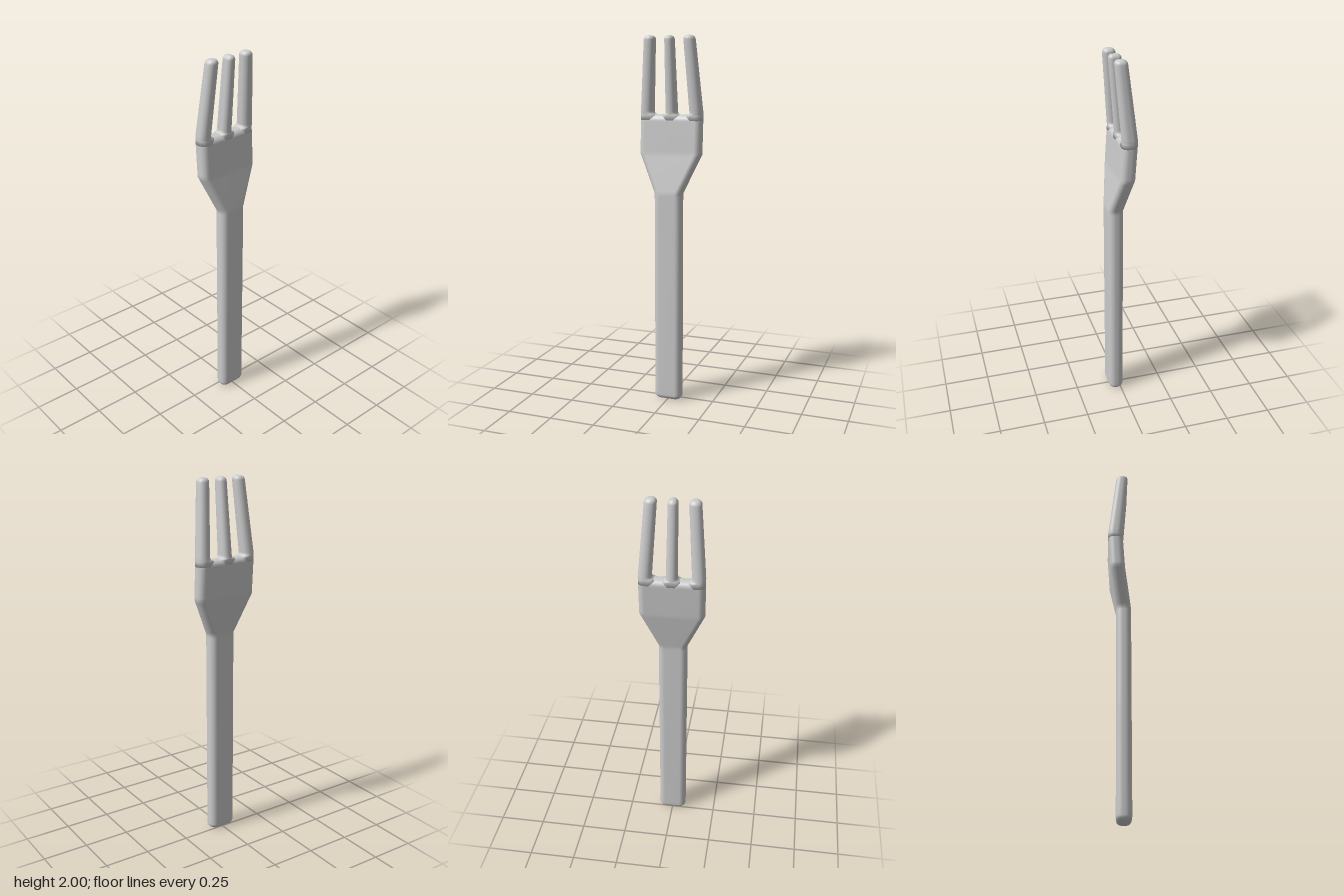
import * as THREE from 'three';

const CORNER = 0.033;   // rounding of the long edges
const material = new THREE.MeshStandardMaterial({ color: 0xcccccc, roughness: 0.6 });

// piecewise-linear lookup through [y, value] knots
function lerpKnots(knots, y) {
  for (let i = 1; i < knots.length; i++) {
    const [y0, v0] = knots[i - 1], [y1, v1] = knots[i];
    if (y <= y1) return v0 + (v1 - v0) * Math.max(0, (y - y0) / (y1 - y0));
  }
  return knots[knots.length - 1][1];
}

// side profile: middle line and half thickness
const midZ = y => lerpKnots([[0, 0.025], [1.17, 0.025], [1.38, -0.01], [1.585, -0.023], [2, 0.0175]], y);
const halfDepth = y => lerpKnots([[0, 0.04], [1.585, 0.041], [2, 0.033]], y);

// rounded-rectangle cross-section at height y
function ring({ y, x, hw, hd }) {
  const r = Math.min(CORNER, hw * 0.92, hd * 0.92), z = midZ(y), pts = [], n = 6;
  for (let c = 0; c < 4; c++) {
    const sx = c === 0 || c === 3 ? 1 : -1, sz = c < 2 ? 1 : -1;
    for (let k = 0; k <= n; k++) {
      const a = (c + k / n) * Math.PI / 2;
      pts.push([x + sx * (hw - r) + r * Math.cos(a), y, z + sz * (hd - r) + r * Math.sin(a)]);
    }
  }
  return pts;
}

// skin a stack of cross-sections and close both ends
function loft(name, sections) {
  const rings = sections.map(ring), n = rings[0].length, pos = rings.flat(2), idx = [];
  for (let s = 0; s < rings.length - 1; s++) {
    for (let i = 0; i < n; i++) {
      const j = (i + 1) % n, a = s * n + i, b = s * n + j;
      idx.push(a, a + n, b, b, a + n, b + n);
    }
  }
  const base = rings.length * n, top = base - n;
  for (const s of [sections[0], sections[sections.length - 1]]) pos.push(s.x, s.y, midZ(s.y));
  for (let i = 0; i < n; i++) {
    const j = (i + 1) % n;
    idx.push(base, i, j, base + 1, top + j, top + i);
  }
  const g = new THREE.BufferGeometry();
  g.setAttribute('position', new THREE.Float32BufferAttribute(pos, 3));
  g.setIndex(idx);
  g.computeVertexNormals();
  const mesh = new THREE.Mesh(g, material);
  mesh.name = name;
  return mesh;
}

// handle and flared head
function body() {
  const width = y => lerpKnots([[0, 0.077], [1.17, 0.077], [1.38, 0.172], [1.6, 0.172]], y);
  const sections = [], r = 0.028;
  for (let k = 0; k <= 6; k++) {           // rounded butt end
    const a = k / 6 * Math.PI / 2, inset = r * (1 - Math.sin(a)), y = r * (1 - Math.cos(a));
    sections.push({ y, x: 0, hw: 0.077 - inset, hd: halfDepth(y) - inset });
  }
  for (const y of [0.06, 0.6, 1.1, 1.155, 1.17, 1.185, 1.275, 1.365, 1.38, 1.395, 1.48, 1.55]) {
    sections.push({ y, x: 0, hw: width(y), hd: halfDepth(y) });
  }
  for (let k = 0; k <= 6; k++) {           // rounded edge between the tines
    const a = k / 6 * Math.PI / 2, inset = 0.03 * (1 - Math.cos(a));
    sections.push({ y: 1.558 + 0.03 * Math.sin(a), x: 0, hw: 0.172 - inset, hd: 0.041 - inset });
  }
  return loft('handleAndHead', sections);
}

// tine between two edge lines; fillets widen the root on the gap sides
function tine(name, left, right, filletLeft, filletRight) {
  const sections = [], R = 0.022, r = 0.022;
  const add = (y, flare, inset = 0) => {
    const l = lerpKnots(left, y) - flare * filletLeft, e = lerpKnots(right, y) + flare * filletRight;
    sections.push({ y, x: (l + e) / 2, hw: (e - l) / 2 - inset, hd: halfDepth(y) - inset });
  };
  add(1.556, R);
  for (let k = 0; k <= 6; k++) {           // root fillet
    const a = k / 6 * Math.PI / 2;
    add(1.584 + R * Math.sin(a), R * (1 - Math.sin(Math.acos(1 - Math.sin(a)))));
  }
  for (const y of [1.625, 1.7, 1.85, 1.96]) add(y, 0);
  for (let k = 0; k <= 6; k++) {           // rounded tip
    const a = k / 6 * Math.PI / 2;
    add(2 - r + r * Math.sin(a), 0, r * (1 - Math.cos(a)));
  }
  return loft(name, sections);
}

export function createModel() {
  const group = new THREE.Group();
  group.name = 'fork';
  group.add(body());

  const inner = [[1.6, 0.103], [2, 0.078]], outer = [[1.6, 0.172], [2, 0.139]];
  const mid = [[1.6, 0.029], [2, 0.024]];
  const mirror = knots => knots.map(([y, v]) => [y, -v]);
  group.add(
    tine('leftTine', inner, outer, 1, 0),
    tine('middleTine', mirror(mid), mid, 1, 1),
    tine('rightTine', mirror(outer), mirror(inner), 0, 1)
  );
  return group;
}
